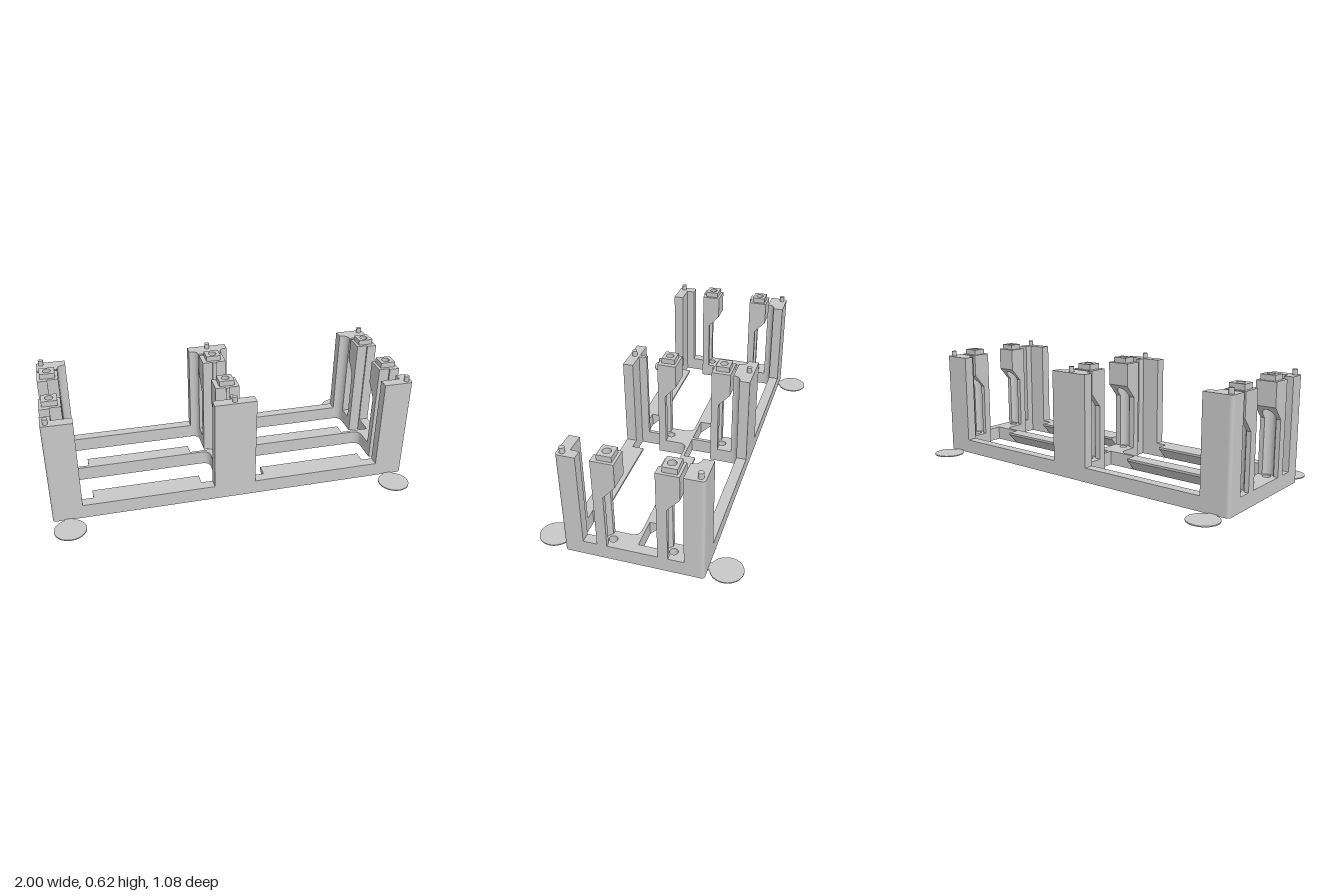
import * as THREE from 'three';

const H = 0.08;      // base frame height
const TOP = 0.59;    // post height
const PIN_TOP = 0.62;

export function createModel() {
  const group = new THREE.Group();
  const grey = new THREE.MeshStandardMaterial({ color: 0xc8c8c8 });
  grey.name = 'lightGrey';

  const add = (name, geometry) => {
    const mesh = new THREE.Mesh(geometry, grey);
    mesh.name = name;
    group.add(mesh);
    return mesh;
  };

  // Plan shapes are drawn in (x, -z) and extruded upwards
  const plan = (shape, y0, y1) => {
    const g = new THREE.ExtrudeGeometry(shape, { depth: y1 - y0, bevelEnabled: false, curveSegments: 16 });
    return g.rotateX(-Math.PI / 2).translate(0, y0, 0);
  };
  // Path from [x, z] points; a four-number entry is [control x, control z, x, z]
  const trace = (points, path = new THREE.Shape()) => {
    points.forEach((p, i) => {
      if (i === 0) path.moveTo(p[0], -p[1]);
      else if (p.length === 4) path.quadraticCurveTo(p[0], -p[1], p[2], -p[3]);
      else path.lineTo(p[0], -p[1]);
    });
    path.closePath();
    return path;
  };
  // Outlines that carry holes run anticlockwise
  const rect = (x0, x1, z0, z1) => trace([[x0, z1], [x1, z1], [x1, z0], [x0, z0]]);
  const circle = (x, z, r) => new THREE.Path().absarc(x, -z, r, 0, Math.PI * 2, true);

  // The two rows repeat the same column with a shift in z
  const rows = [
    { shift: -0.314, z0: -0.305, z1: -0.01 },
    { shift: 0, z0: 0.007, z1: 0.305 },
  ];
  const columns = [
    { x: -0.9425, half: 0.0575, rib: [-1, -0.945] },
    { x: 0, half: 0.067, rib: [-0.01, 0.01] },
    { x: 0.9425, half: 0.0575, rib: [0.945, 1] },
  ];
  const HOLE_Z = 0.122, HOLE_R = 0.022, GROOVE_R = 0.035;
  const BACK = 0.07, STEM = 0.135, FRONT = 0.177;

  // Base frame with four windows and six screw holes
  const base = trace([
    [-0.98, 0.362], [0.98, 0.362], [1, 0.362, 1, 0.342], [1, -0.342],
    [1, -0.362, 0.98, -0.362], [-0.98, -0.362], [-1, -0.362, -1, -0.342],
    [-1, 0.342], [-1, 0.362, -0.98, 0.362],
  ]);
  for (const { shift, z0, z1 } of rows) {
    const c = FRONT + shift, f = z0 + 0.045;
    for (const s of [-1, 1]) {
      base.holes.push(trace([
        [0.115 * s, z0], [0.067 * s, z0, 0.067 * s, f], [0.067 * s, c], [0.01 * s, c],
        [0.01 * s, z1], [0.945 * s, z1], [0.945 * s, c], [0.885 * s, c],
        [0.885 * s, f], [0.885 * s, z0, 0.837 * s, z0],
      ], new THREE.Path()));
    }
    for (const { x } of columns) base.holes.push(circle(x, HOLE_Z + shift, HOLE_R));
  }
  add('baseFrame', plan(base, 0, H));

  // Corner posts, centre posts and their locating pins
  for (const s of [-1, 1]) {
    add('backCornerPost', plan(trace([
      [0.837 * s, -0.362], [0.98 * s, -0.362], [s, -0.362, s, -0.342], [s, -0.26],
      [0.885 * s, -0.26], [0.885 * s, -0.305, 0.837 * s, -0.305],
    ]), H, TOP));
    add('frontCornerPost', plan(trace([
      [0.837 * s, 0.362], [0.98 * s, 0.362], [s, 0.362, s, 0.342], [s, 0.26],
      [0.945 * s, 0.26], [0.945 * s, 0.305], [0.837 * s, 0.305],
    ]), H, TOP));
  }
  add('backCentrePost', plan(trace([
    [-0.115, -0.362], [0.115, -0.362], [0.115, -0.305], [0.067, -0.305, 0.067, -0.26],
    [-0.067, -0.26], [-0.067, -0.305, -0.115, -0.305],
  ]), H, TOP));
  add('frontCentrePost', plan(trace([
    [-0.115, 0.362], [0.115, 0.362], [0.115, 0.305], [0.01, 0.305],
    [0.01, 0.26], [-0.01, 0.26], [-0.01, 0.305], [-0.115, 0.305],
  ]), H, TOP));
  for (const x of [-0.972, 0, 0.972]) {
    for (const z of [-0.334, 0.334]) {
      add('locatingPin', new THREE.CylinderGeometry(0.014, 0.014, PIN_TOP - TOP, 20))
        .position.set(x, (TOP + PIN_TOP) / 2, z);
    }
  }

  // Screw columns: grooved stem, sloped corbel, overhanging head and square cap
  const dz = STEM - HOLE_Z, chord = Math.sqrt(GROOVE_R ** 2 - dz ** 2);
  const a = Math.atan2(dz, chord);
  const arc = (from, to) => Array.from({ length: 17 }, (_, i) => {
    const t = from + (to - from) * i / 16;
    return [GROOVE_R * Math.cos(t), HOLE_Z + GROOVE_R * Math.sin(t)];
  });
  for (const { shift } of rows) {
    for (const { x, half, rib } of columns) {
      const place = (name, geometry) => add(name, geometry).position.set(x, 0, shift);
      place('columnStem', plan(trace([
        [half, STEM], [half, FRONT], [-half, FRONT], [-half, STEM], ...arc(Math.PI - a, a),
      ]), H, 0.46));

      const corbel = plan(trace([
        [half, STEM], [half, BACK], [-half, BACK], [-half, STEM], ...arc(Math.PI - a, Math.PI * 2 + a),
      ]), 0.385, 0.46);
      const p = corbel.attributes.position;
      for (let i = 0; i < p.count; i++) {
        if (p.getY(i) < 0.4) p.setY(i, 0.385 + 0.074 * (STEM - p.getZ(i)) / (STEM - BACK));
      }
      corbel.computeVertexNormals();
      place('columnCorbel', corbel);

      const head = rect(-half, half, BACK, FRONT);
      head.holes.push(circle(0, HOLE_Z, HOLE_R));
      place('columnHead', plan(head, 0.46, TOP));

      const cap = rect(-0.042, 0.042, HOLE_Z - 0.038, HOLE_Z + 0.038);
      cap.holes.push(circle(0, HOLE_Z, HOLE_R));
      place('columnCap', plan(cap, TOP, PIN_TOP));

      add('columnRib', plan(rect(rib[0], rib[1], FRONT + shift, 0.187 + shift), H, TOP));
    }
  }

  // Wedge ledges behind the middle and front rails
  for (const { z1 } of rows) {
    for (const x of [-0.775, 0.18]) {
      const profile = new THREE.Shape();
      profile.moveTo(0, 0);
      profile.lineTo(0, H);
      profile.lineTo(-0.067, H);
      profile.lineTo(-0.067, H - 0.012);
      profile.closePath();
      // Profile is drawn in (z, y), then turned to run along x
      const g = new THREE.ExtrudeGeometry(profile, { depth: 0.595, bevelEnabled: false });
      g.rotateY(-Math.PI / 2).translate(x + 0.595, 0, z1);
      add('wedgeLedge', g);
    }
  }

  // Thin round anchor pads joined by short tabs
  for (const x of [-0.915, 0.915]) {
    for (const s of [-1, 1]) {
      add('anchorPad', new THREE.CylinderGeometry(0.085, 0.085, 0.006, 48)).position.set(x, 0.003, 0.453 * s);
      add('anchorTab', new THREE.BoxGeometry(0.05, 0.006, 0.04)).position.set(x, 0.003, 0.375 * s);
    }
  }
  return group;
}
